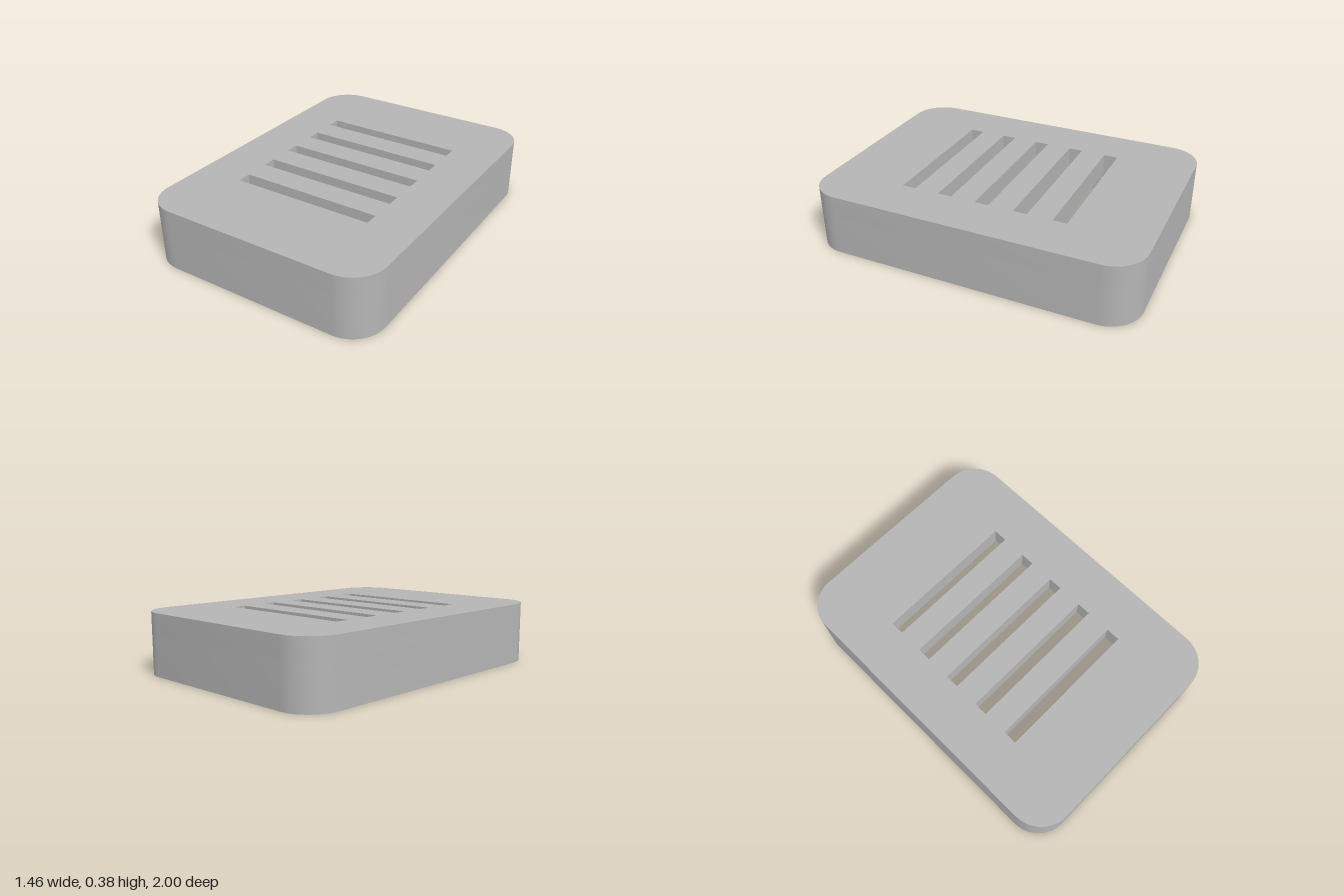
import * as THREE from 'three';
import { toCreasedNormals } from 'three/addons/utils/BufferGeometryUtils.js';

const HALF_W = 0.73, HALF_L = 1, HEIGHT = 0.375, CORNER = 0.2, PLATE_Y = 0.25;

// Rounded rectangle, counter-clockwise, shrunk inwards by inset
function outline(inset, steps = 14) {
  const r = CORNER - inset, pts = [];
  const corners = [[1, 1], [-1, 1], [-1, -1], [1, -1]];
  corners.forEach(([sx, sy], q) => {
    for (let i = 0; i <= steps; i++) {
      const a = (q + i / steps) * Math.PI / 2;
      pts.push(new THREE.Vector2(
        sx * (HALF_W - CORNER) + r * Math.cos(a),
        sy * (HALF_L - CORNER) + r * Math.sin(a)));
    }
  });
  return pts;
}

// Sweeps a wall section of [inset, y] points around the outline
function wallGeometry(section) {
  const position = [], index = [];
  const n = outline(0).length;
  for (const [inset, y] of section)
    for (const p of outline(inset)) position.push(p.x, y, -p.y);
  for (let s = 0; s < section.length - 1; s++)
    for (let i = 0; i < n; i++) {
      const j = (i + 1) % n, a = s * n, b = a + n;
      index.push(a + i, b + i, b + j, a + i, b + j, a + j);
    }
  const g = new THREE.BufferGeometry();
  g.setAttribute('position', new THREE.Float32BufferAttribute(position, 3));
  g.setIndex(index);
  return toCreasedNormals(g, 0.5);
}

// Top plate with a row of slots
function plateGeometry() {
  const shape = new THREE.Shape(outline(0));
  const w = 0.44, h = 0.0425;
  for (let i = -2; i <= 2; i++) {
    const c = i * 0.237 + 0.003;
    shape.holes.push(new THREE.Path([
      new THREE.Vector2(-w, c - h), new THREE.Vector2(-w, c + h),
      new THREE.Vector2(w, c + h), new THREE.Vector2(w, c - h)]));
  }
  const g = new THREE.ExtrudeGeometry(shape, { depth: HEIGHT - PLATE_Y, bevelEnabled: false });
  g.rotateX(-Math.PI / 2).translate(0, PLATE_Y, 0);
  return toCreasedNormals(g, 0.5);
}

export function createModel() {
  const grey = new THREE.MeshStandardMaterial({ color: 0xb4b4b4 });
  grey.name = 'grey';
  const group = new THREE.Group();
  group.name = 'slottedCover';

  const plate = new THREE.Mesh(plateGeometry(), grey);
  plate.name = 'slottedTopPlate';

  // Outer wall, bottom rim, inner lip, shallow groove and ledge below the plate
  const wall = new THREE.Mesh(wallGeometry([
    [0, PLATE_Y], [0, 0], [0.075, 0], [0.075, 0.09],
    [0.068, 0.09], [0.068, 0.2], [0.1, 0.2], [0.1, PLATE_Y]]), grey);
  wall.name = 'sideWall';

  group.add(plate, wall);
  return group;
}
